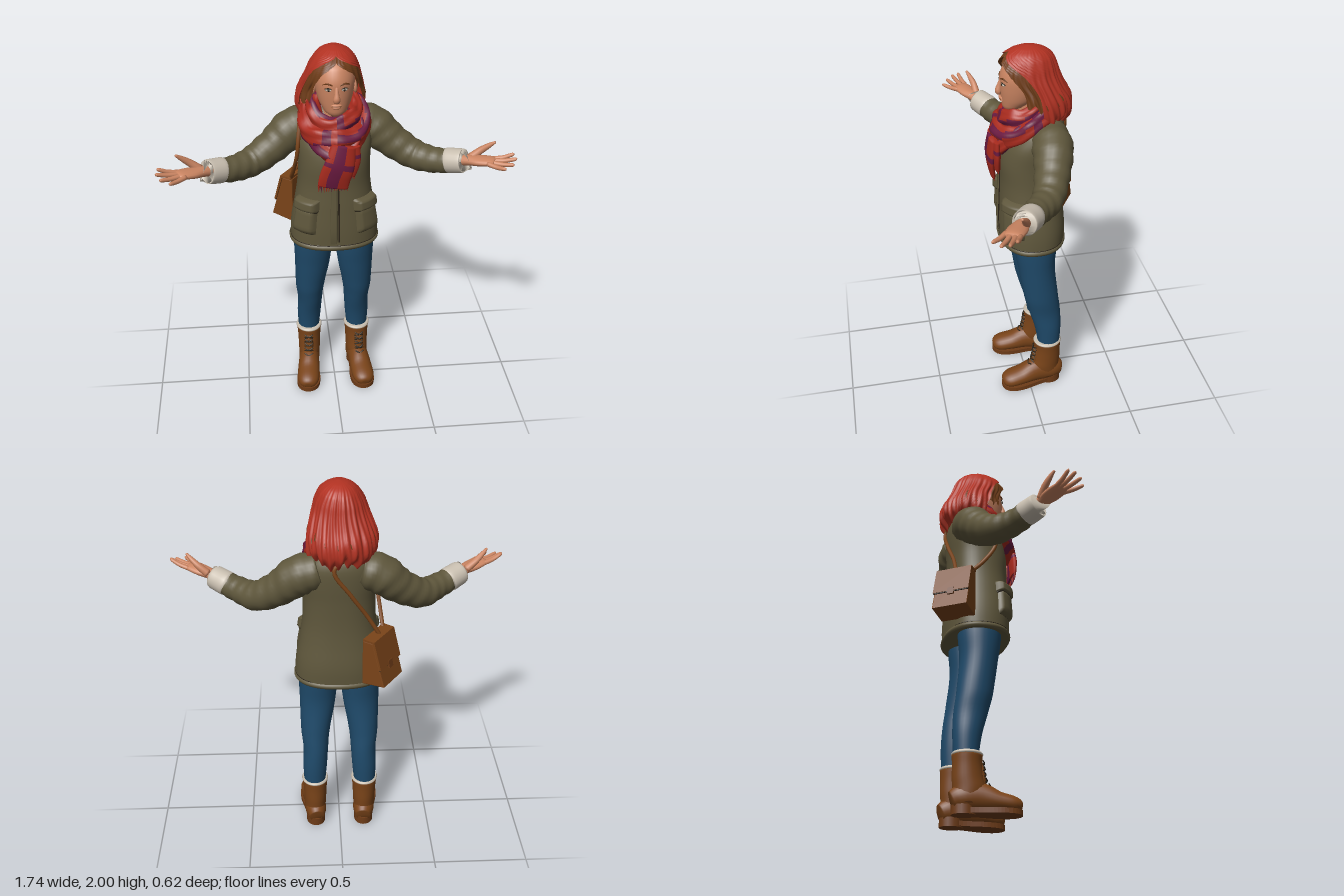
import * as THREE from 'three';

const M = {};
for (const [name, color] of Object.entries({
  jacketOlive: 0x5f573c, jeansBlue: 0x1f4a6a, leatherBrown: 0x7a4419, cuffCream: 0xc9bfb0, skin: 0xcb8562,
  hairRed: 0xb23222, hairAuburn: 0x6e3c18, scarfRed: 0xa82a1d, scarfPurple: 0x6a1a40, darkTrim: 0x2c2419,
})) { M[name] = new THREE.MeshStandardMaterial({ color, side: THREE.DoubleSide }); M[name].name = name; }

const { sin, cos, PI, abs, sign, min, max } = Math;
const V = (x, y, z) => new THREE.Vector3(x, y, z);

// Smooth lookup in a table whose first column is the key
function at(rows, k) {
  let i = 0;
  while (i < rows.length - 2 && k > rows[i + 1][0]) i++;
  const f = (k - rows[i][0]) / (rows[i + 1][0] - rows[i][0]);
  const r = rows[i].map((_, c) => {
    const p = q => rows[max(0, min(rows.length - 1, q))][c];
    const a = p(i - 1), b = p(i), d = p(i + 1), e = p(i + 2);
    return b + 0.5 * f * (d - a + f * (2 * a - 5 * b + 4 * d - e + f * (3 * (b - d) + e - a)));
  });
  r[0] = k;
  return r;
}

// Surface from f(u, v); pick(i, j) chooses a material index for each cell
function grid(name, mat, nu, nv, closed, f, pick = () => 0) {
  const pos = [], w = closed ? nu : nu + 1;
  for (let j = 0; j <= nv; j++) for (let i = 0; i < w; i++) pos.push(...f(i / nu, j / nv));
  const mats = [].concat(mat), idx = mats.map(() => []);
  for (let j = 0; j < nv; j++) for (let i = 0; i < nu; i++) {
    const a = j * w + i, b = j * w + (i + 1) % w;
    idx[pick(i, j)].push(a, b, b + w, a, b + w, a + w);
  }
  const g = new THREE.BufferGeometry();
  g.setAttribute('position', new THREE.Float32BufferAttribute(pos, 3));
  g.setIndex(idx.flat());
  let s = 0;
  idx.forEach((t, k) => { g.addGroup(s, t.length, k); s += t.length; });
  g.computeVertexNormals();
  const mesh = new THREE.Mesh(g, mat);
  mesh.name = name;
  return mesh;
}

// Point on a horizontal section row [y, cx, cz, rx, rz]
const sec = ([y, cx, cz, rx, rz], a, p = 2, o = 0) => [
  cx + (rx + o) * sign(sin(a)) * abs(sin(a)) ** (2 / p), y, cz + (rz + o) * sign(cos(a)) * abs(cos(a)) ** (2 / p)];

// Stack of horizontal sections, closed at both ends
function stack(name, mat, rows, n, m, p = 2) {
  const y0 = rows[0][0], y1 = rows[rows.length - 1][0];
  return grid(name, mat, n, m + 2, true, (u, v) => {
    const j = Math.round(v * (m + 2)), r = at(rows, y0 + (y1 - y0) * max(0, min(1, (j - 1) / m)));
    if (j === 0 || j === m + 2) r[3] = r[4] = 0;
    return sec(r, u * 2 * PI, p);
  });
}

// Tube through points [x, y, z, sideRadius, otherRadius], closed at both ends
function tube(name, mat, pts, n, m, { ref = V(0, 1, 0), wrinkle = 0, pick } = {}) {
  const rows = pts.map(([x, y, z, r1, r2 = r1], i) => [i, x, y, z, r1, r2]), K = rows.length - 1;
  return grid(name, mat, n, m + 2, true, (u, v) => {
    const j = Math.round(v * (m + 2)), k = K * max(0, min(1, (j - 1) / m));
    const [, x, y, z, r1, r2] = at(rows, k);
    const A = at(rows, max(0, k - 0.02)), B = at(rows, min(K, k + 0.02));
    const T = V(B[1] - A[1], B[2] - A[2], B[3] - A[3]).normalize();
    const S = T.clone().cross(ref).normalize(), N = T.clone().cross(S), a = u * 2 * PI;
    const s = (j === 0 || j === m + 2) ? 0 : 1 + wrinkle * sin(k * 11 + 2.5 * cos(a) + sin(2 * a));
    return V(x, y, z).addScaledVector(S, r1 * s * cos(a)).addScaledVector(N, r2 * s * sin(a)).toArray();
  }, pick);
}

function put(name, geo, mat, p, s = [1, 1, 1], r = [0, 0, 0]) {
  const m = new THREE.Mesh(geo, mat);
  m.name = name; m.position.set(...p); m.scale.set(...s); m.rotation.set(...r);
  return m;
}
const ball = new THREE.SphereGeometry(1, 20, 14);

const BODY = [[0.94, 0, -0.035, 0.23, 0.168], [1.05, 0, -0.035, 0.225, 0.17], [1.2, 0, -0.03, 0.2, 0.16],
  [1.3, 0, -0.03, 0.186, 0.155], [1.42, 0, -0.03, 0.184, 0.158], [1.52, 0, -0.045, 0.19, 0.15],
  [1.6, 0, -0.07, 0.175, 0.125], [1.65, 0, -0.08, 0.135, 0.1], [1.7, 0, -0.07, 0.07, 0.07]];
// Raised patch that follows the jacket surface
const patch = (name, mat, a0, a1, y0, y1, off, n = 14) => grid(name, mat, n, 10, false, (u, v) => {
  const edge = min(1, 8 * min(u, 1 - u, v, 1 - v));
  return sec(at(BODY, y0 + (y1 - y0) * v), a0 + (a1 - a0) * u, 2.3, -0.004 + (off + 0.004) * edge);
});

function jacket() {
  const g = new THREE.Group(); g.name = 'jacket';
  g.add(stack('jacketBody', M.jacketOlive, BODY, 48, 30, 2.3));
  g.add(grid('hem', M.jacketOlive, 48, 6, true, (u, v) =>
    sec(at(BODY, 0.94 + 0.028 * v), u * 2 * PI, 2.3, 0.007 * sin(v * PI))));
  g.add(patch('hemSeam', M.darkTrim, -PI, PI, 0.966, 0.972, 0.001, 48));
  g.add(patch('zipPlacket', M.jacketOlive, -0.12, 0.02, 0.96, 1.5, 0.008));
  g.add(patch('zip', M.darkTrim, 0.02, 0.055, 0.96, 1.5, 0.004));
  for (const s of [1, -1]) {
    const span = (lo, hi) => s > 0 ? [lo, hi] : [-hi, -lo];
    g.add(patch('pocketSeam', M.darkTrim, ...span(0.4, 1.22), 1.022, 1.2, 0.004));
    g.add(patch('pocket', M.jacketOlive, ...span(0.42, 1.2), 1.03, 1.2, 0.022));
    g.add(patch('flapSeam', M.darkTrim, ...span(0.4, 1.24), 1.158, 1.228, 0.023));
    g.add(patch('pocketFlap', M.jacketOlive, ...span(0.38, 1.26), 1.165, 1.235, 0.032));
    g.add(tube('sleeve', M.jacketOlive, [[0.1, 1.575, -0.1, 0.09], [0.2, 1.545, -0.1, 0.1], [0.3, 1.465, -0.075, 0.087],
      [0.41, 1.402, -0.03, 0.076], [0.5, 1.4, 0.04, 0.066], [0.58, 1.418, 0.093, 0.06]].map(r => [r[0] * s, ...r.slice(1)]),
      24, 44, { wrinkle: 0.03 }));
    g.add(tube('cuff', M.cuffCream, [[0.562, 1.414, 0.08, 0.06], [0.568, 1.416, 0.084, 0.064], [0.6, 1.424, 0.107, 0.063],
      [0.63, 1.432, 0.127, 0.061], [0.634, 1.433, 0.13, 0.054]].map(r => [r[0] * s, ...r.slice(1)]), 24, 12));
  }
  return g;
}

function hand(s) {
  const g = new THREE.Group(); g.name = s > 0 ? 'leftHand' : 'rightHand';
  const add = (name, rows, n, m) => g.add(tube(name, M.skin, rows.map(r => [r[0] * s, ...r.slice(1)]), n, m));
  add('palm', [[0.59, 1.425, 0.095, 0.035, 0.032], [0.65, 1.443, 0.14, 0.034, 0.026], [0.7, 1.452, 0.17, 0.046, 0.023],
    [0.75, 1.462, 0.2, 0.045, 0.018], [0.768, 1.464, 0.21, 0.034, 0.01]], 16, 16);
  const fingers = [[0.766, 0.174, 0.86, 1.497, 0.208], [0.757, 0.191, 0.866, 1.487, 0.24],
    [0.743, 0.21, 0.845, 1.474, 0.273], [0.727, 0.227, 0.8, 1.468, 0.3]];
  for (const [x, z, tx, ty, tz] of fingers)
    add('finger', [[x, 1.461, z, 0.0125], [(x + tx) / 2, (1.461 + ty) / 2 - 0.005, (z + tz) / 2, 0.0115],
      [tx - 0.008, ty - 0.002, tz - 0.004, 0.009], [tx, ty, tz, 0.004]], 10, 10);
  add('thumb', [[0.665, 1.45, 0.13, 0.022], [0.71, 1.49, 0.137, 0.018], [0.745, 1.522, 0.152, 0.013], [0.772, 1.548, 0.168, 0.006]], 10, 12);
  return g;
}

function leg(s) {
  const g = new THREE.Group(); g.name = s > 0 ? 'leftLeg' : 'rightLeg';
  const side = rows => rows.map(([y, x, ...r]) => [y, x * s, ...r]);
  g.add(stack('jeansLeg', M.jeansBlue, side([[0.2, 0.14, -0.112, 0.055, 0.058], [0.3, 0.138, -0.112, 0.06, 0.063],
    [0.4, 0.135, -0.106, 0.066, 0.073], [0.5, 0.13, -0.09, 0.068, 0.085], [0.6, 0.13, -0.07, 0.078, 0.092],
    [0.8, 0.115, -0.045, 0.096, 0.098], [0.93, 0.112, -0.04, 0.102, 0.112], [1.02, 0.11, -0.04, 0.1, 0.115]]), 28, 32));
  const boot = new THREE.Group(); boot.name = 'boot';
  boot.position.set(0.138 * s, 0, -0.1); boot.rotation.y = 0.1 * s;
  boot.add(stack('bootShaft', M.leatherBrown, [[0.05, 0, -0.005, 0.055, 0.07], [0.12, 0, 0.005, 0.06, 0.08],
    [0.17, 0, -0.002, 0.062, 0.077], [0.24, 0, -0.006, 0.065, 0.073], [0.295, 0, -0.006, 0.07, 0.075]], 28, 16));
  boot.add(tube('bootFoot', M.leatherBrown, [[0, 0.062, -0.079, 0.04, 0.048], [0, 0.078, -0.03, 0.058, 0.068],
    [0, 0.085, 0.06, 0.058, 0.072], [0, 0.067, 0.14, 0.062, 0.053], [0, 0.056, 0.21, 0.06, 0.044],
    [0, 0.048, 0.245, 0.042, 0.032], [0, 0.045, 0.256, 0.02, 0.015]], 24, 24));
  boot.add(stack('furRim', M.cuffCream, [[0.282, 0, -0.006, 0.066, 0.071], [0.293, 0, -0.006, 0.073, 0.078], [0.303, 0, -0.006, 0.067, 0.071]], 28, 6));
  const outline = new THREE.Shape();
  outline.moveTo(-0.046, -0.02);
  outline.bezierCurveTo(-0.045, 0.08, -0.075, 0.12, -0.064, 0.2);
  outline.bezierCurveTo(-0.05, 0.28, 0.05, 0.28, 0.064, 0.2);
  outline.bezierCurveTo(0.075, 0.12, 0.045, 0.08, 0.046, -0.02);
  boot.add(put('sole', new THREE.ExtrudeGeometry(outline, { depth: 0.025, bevelEnabled: false }), M.hairAuburn,
    [0, 0.03, 0], [1, 1, 1], [PI / 2, 0, 0]));
  boot.add(put('heel', new THREE.CylinderGeometry(1, 1, 0.045, 24), M.hairAuburn, [0, 0.0225, -0.022], [0.052, 1, 0.06]));
  boot.add(put('tongue', ball, M.leatherBrown, [0, 0.2, 0.06], [0.026, 0.09, 0.022], [-0.18, 0, 0]));
  // Crossed laces up the instep
  for (let i = 0; i < 5; i++) for (const d of [1, -1]) {
    const y = 0.14 + i * 0.028, z = [0.104, 0.088, 0.082, 0.078, 0.075][i];
    boot.add(tube('lace', M.darkTrim, [[-0.024, y - 0.01 * d, z - 0.008, 0.0035], [0, y, z + 0.003, 0.0035], [0.024, y + 0.01 * d, z - 0.008, 0.0035]], 6, 6));
  }
  g.add(boot);
  return g;
}

// Rows: y, cx, cz, rx, rz, then how far hair reaches round from the back on each side
const HAIR = [[1.62, 0, -0.07, 0.13, 0.12, 0.5, 0.58], [1.67, -0.01, -0.07, 0.168, 0.163, 0.5, 0.6], [1.74, -0.012, -0.06, 0.172, 0.172, 0.5, 0.62],
  [1.8, -0.01, -0.045, 0.156, 0.155, 0.5, 0.63], [1.86, -0.006, -0.02, 0.136, 0.155, 0.53, 0.62], [1.91, -0.003, -0.012, 0.12, 0.147, 0.63, 0.68],
  [1.95, 0, -0.015, 0.098, 0.125, 0.82, 0.82], [1.975, 0, -0.02, 0.073, 0.092, 1, 1], [1.993, 0, -0.02, 0.038, 0.05, 1, 1], [2, 0, -0.02, 0.001, 0.001, 1, 1]];
const hair = (name, mat, scale, extra, drop, y0) => grid(name, mat, 160, 30, false, (u, v) => {
  const r = at(HAIR, y0 + (2 - y0) * (1 - (1 - v) ** 1.7)), w = u * 2 - 1;
  const a = PI + w * PI * min(1, (w < 0 ? r[5] : r[6]) + extra);
  const k = scale * (1 + (0.022 * sin(34 * a + 4 * sin(v * 4)) + 0.018 * sin(15 * a - 5 * v)) * (1 - v ** 3));
  r[3] *= k; r[4] *= k;
  r[0] += 0.03 * sin(13 * a) * sin(7 * a + 1) * (1 - v) ** 4 - drop;
  return sec(r, a);
});

function head() {
  const g = new THREE.Group(); g.name = 'head';
  g.add(stack('face', M.skin, [[1.678, 0, 0.066, 0.022, 0.024], [1.695, 0, 0.055, 0.05, 0.05], [1.74, 0, 0.022, 0.078, 0.09],
    [1.8, 0, 0.005, 0.094, 0.112], [1.86, 0, 0, 0.098, 0.115], [1.92, 0, -0.01, 0.085, 0.1], [1.96, 0, -0.015, 0.05, 0.06]], 32, 26));
  g.add(put('neck', new THREE.CylinderGeometry(0.055, 0.06, 0.18, 20), M.skin, [0, 1.66, -0.02]));
  g.add(tube('nose', M.skin, [[0, 1.84, 0.108, 0.009, 0.009], [0, 1.805, 0.118, 0.012, 0.014], [0, 1.778, 0.124, 0.018, 0.017],
    [0, 1.766, 0.115, 0.014, 0.008]], 12, 10, { ref: V(0, 0, 1) }));
  g.add(put('upperLip', ball, M.skin, [0, 1.747, 0.112], [0.026, 0.007, 0.011]));
  g.add(put('lowerLip', ball, M.skin, [0, 1.735, 0.109], [0.022, 0.008, 0.011]));
  g.add(put('mouthLine', ball, M.hairAuburn, [0, 1.7415, 0.116], [0.024, 0.0018, 0.005]));
  for (const s of [1, -1]) {
    g.add(put('eye', ball, M.cuffCream, [0.038 * s, 1.825, 0.106], [0.016, 0.007, 0.008], [0, 0.35 * s, 0]));
    g.add(put('iris', ball, M.darkTrim, [0.037 * s, 1.825, 0.111], [0.0065, 0.0068, 0.005]));
    g.add(tube('lashLine', M.darkTrim, [[0.02 * s, 1.828, 0.112, 0.002], [0.038 * s, 1.834, 0.111, 0.0025], [0.056 * s, 1.828, 0.1, 0.002]], 6, 8));
    g.add(tube('eyebrow', M.hairAuburn, [[0.018 * s, 1.848, 0.114, 0.003], [0.042 * s, 1.855, 0.107, 0.004], [0.064 * s, 1.846, 0.091, 0.002]], 6, 8));
    g.add(put('ear', ball, M.skin, [0.1 * s, 1.795, -0.012], [0.012, 0.034, 0.022], [-0.2, 0, 0.1 * s]));
  }
  g.add(hair('outerHair', M.hairRed, 1, 0, 0, 1.62), hair('frontHair', M.hairAuburn, 0.97, 0.14, 0.009, 1.74));
  return g;
}

function scarf() {
  const g = new THREE.Group(); g.name = 'scarf';
  const mats = [M.scarfRed, M.scarfPurple];
  // Wraps round the neck: y, tilt, rx, rz, cz, height, thickness
  const wraps = [[1.685, 0.05, 0.105, 0.098, 0, 0.05, 0.034], [1.628, 0.06, 0.138, 0.125, 0, 0.052, 0.042], [1.602, 0.1, 0.11, 0.115, 0.03, 0.05, 0.04]];
  wraps.forEach(([y, tilt, rx, rz, cz, h, t], k) => g.add(grid('scarfWrap', mats, 24, 72, true, (u, v) => {
    const b = v * 2 * PI, a = u * 2 * PI, f = 1 + 0.13 * sin(5 * a + 3 * b + k) + 0.05 * sin(9 * b + k);
    const o = t * f * cos(a);
    return [(rx + o) * sin(b), y - tilt * cos(b) - h * f * sin(a) + 0.012 * sin(3 * b + k * 2), cz + (rz + o) * cos(b)];
  }, (i, j) => (i + k * 3 + (j >> 3)) % 12 < 3 || (j + k * 5) % 24 < 3 ? 1 : 0)));
  const stripes = (i, j) => [5, 6, 7, 17, 18, 19].includes(i) || j === 7 || j === 8 ? 1 : 0;
  const ends = [[[0.03, 1.56, 0.16, 0.06, 0.025], [0.01, 1.46, 0.172, 0.075, 0.024], [-0.012, 1.39, 0.168, 0.078, 0.02], [-0.022, 1.335, 0.162, 0.076, 0.014]],
    [[0.06, 1.55, 0.15, 0.05, 0.02], [0.06, 1.47, 0.15, 0.055, 0.02], [0.045, 1.39, 0.146, 0.045, 0.016]]];
  for (const rows of ends) {
    g.add(tube('scarfEnd', mats, rows, 24, 20, { ref: V(0, 0, 1), pick: stripes }));
    const [x, y, z, w] = rows[rows.length - 1];
    for (let i = 0; i < 12; i++)
      g.add(put('fringe', new THREE.ConeGeometry(0.007, 0.04, 6), i % 4 === 1 ? M.scarfPurple : M.scarfRed,
        [x + w * (i / 5.5 - 1) * 0.92, y - 0.008, z], [1, 1, 1], [PI, 0, 0.1 * sin(i * 5)]));
  }
  return g;
}

function bag() {
  const g = new THREE.Group(); g.name = 'shoulderBag';
  const box = new THREE.Group(); box.name = 'bagBody';
  box.position.set(-0.165, 1.0, -0.165); box.rotation.y = 2.53;
  const slab = (name, mat, pts, w, bevel) => {
    const geo = new THREE.ExtrudeGeometry(new THREE.Shape(pts.map(p => new THREE.Vector2(...p))),
      { depth: w, bevelEnabled: bevel > 0, bevelSize: bevel, bevelThickness: bevel, bevelSegments: 2 });
    box.add(put(name, geo, mat, [0, 0, -w / 2]));
  };
  slab('pouch', M.leatherBrown, [[0, 0.005], [0.118, 0.02], [0.05, 0.245], [0, 0.245]], 0.178, 0.005);
  slab('flap', M.leatherBrown, [[0, 0.25], [0.054, 0.25], [0.096, 0.11], [0.107, 0.11], [0.064, 0.26], [0, 0.262]], 0.194, 0);
  slab('flapEdge', M.darkTrim, [[0.095, 0.106], [0.104, 0.106], [0.1035, 0.111], [0.094, 0.111]], 0.19, 0);
  slab('clasp', M.hairAuburn, [[0.1, 0.09], [0.112, 0.09], [0.104, 0.13], [0.098, 0.13]], 0.035, 0);
  g.add(box);
  g.add(tube('strap', M.leatherBrown, [[-0.22, 1.235, -0.13], [-0.207, 1.33, -0.04], [-0.19, 1.45, 0.03], [-0.178, 1.56, 0.015], [-0.155, 1.665, -0.07],
    [-0.08, 1.68, -0.155], [0.03, 1.61, -0.198], [-0.05, 1.48, -0.2], [-0.13, 1.36, -0.185], [-0.2, 1.245, -0.185]].map(p => [...p, 0.0105]), 8, 60, { ref: V(0.8, 0.1, 0.6) }));
  return g;
}

export function createModel() {
  const model = new THREE.Group(); model.name = 'womanInWinterJacket';
  model.add(jacket(), head(), scarf(), bag());
  for (const s of [1, -1]) model.add(hand(s), leg(s));
  return model;
}
